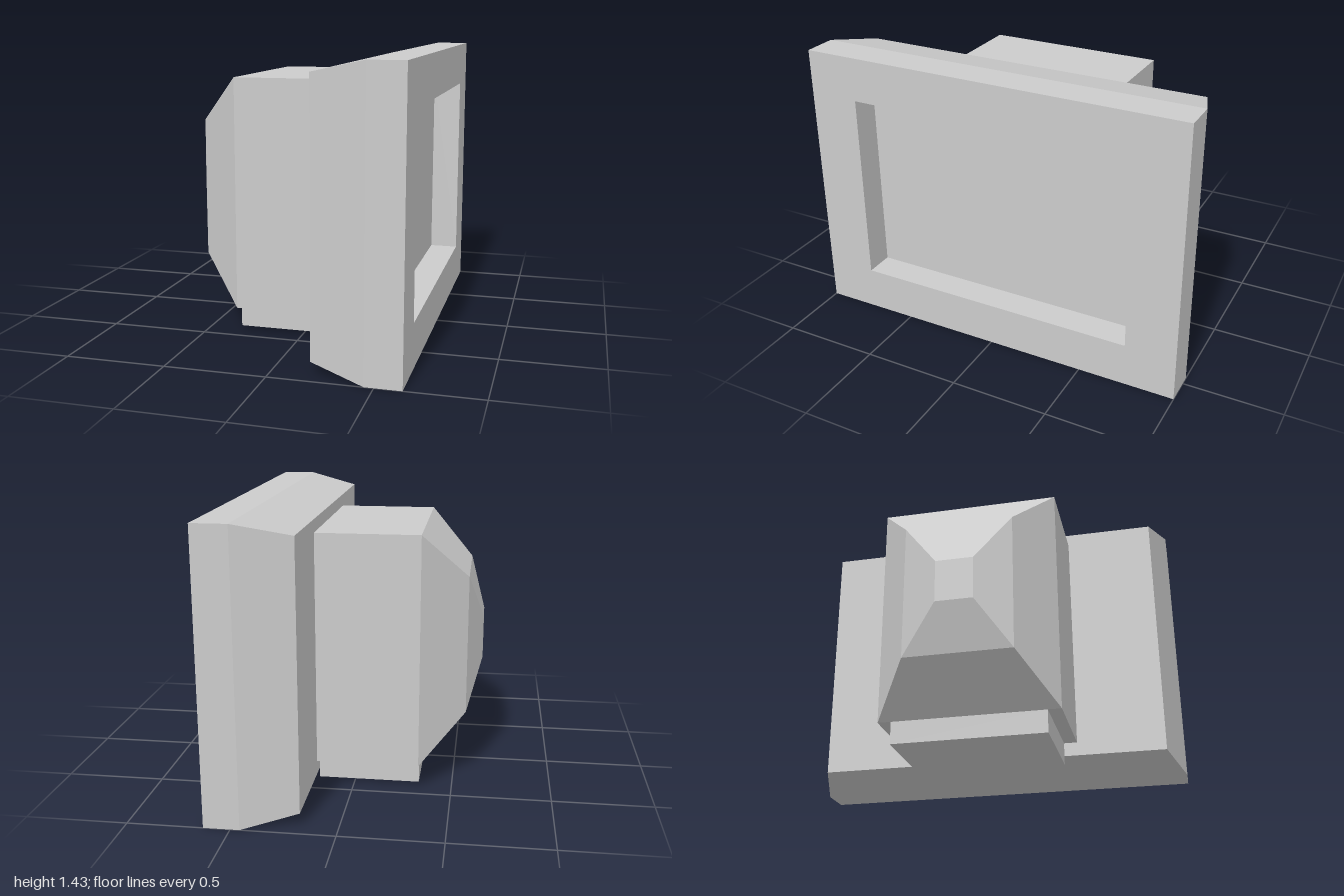
import * as THREE from 'three';

const material = new THREE.MeshStandardMaterial({ color: 0xcccccc, flatShading: true });

// Skins a series of rectangular rings [x, yMin, yMax, halfDepth] along x and caps both ends.
function loftRings(rings) {
  const corners = rings.map(([x, y0, y1, z]) => [[x, y0, z], [x, y0, -z], [x, y1, -z], [x, y1, z]]);
  const positions = [];
  const quad = (a, b, c, d) => positions.push(...a, ...b, ...c, ...a, ...c, ...d);
  for (let i = 0; i < corners.length - 1; i++) {
    for (let j = 0; j < 4; j++) {
      const k = (j + 1) % 4;
      quad(corners[i][j], corners[i][k], corners[i + 1][k], corners[i + 1][j]);
    }
  }
  const first = corners[0], last = corners[corners.length - 1];
  quad(first[3], first[2], first[1], first[0]);
  quad(...last);
  const geometry = new THREE.BufferGeometry();
  geometry.setAttribute('position', new THREE.Float32BufferAttribute(positions, 3));
  geometry.computeVertexNormals();
  return geometry;
}

export function createModel() {
  const group = new THREE.Group();
  group.name = 'monitor';
  const add = (name, geometry) => {
    const mesh = new THREE.Mesh(geometry, material);
    mesh.name = name;
    group.add(mesh);
    return mesh;
  };

  // Chamfered front bezel, folding inward to the recessed screen
  add('screenBezel', loftRings([
    [0.185, 0.06, 1.375, 0.915],
    [0.455, 0, 1.435, 1],
    [0.63, 0, 1.435, 1],
    [0.63, 0.225, 1.21, 0.74],
    [0.48, 0.225, 1.21, 0.74],
  ]));

  // Rear housing, tapering in two steps to a small back face
  add('rearHousing', loftRings([
    [-0.635, 0.61, 0.83, 0.095],
    [-0.56, 0.365, 1.075, 0.275],
    [-0.333, 0.13, 1.31, 0.458],
    [0.185, 0.13, 1.31, 0.458],
  ]));

  // Foot block under the housing
  add('foot', new THREE.BoxGeometry(0.515, 0.115, 0.78)).position.set(-0.075, 0.0725, 0);

  return group;
}
